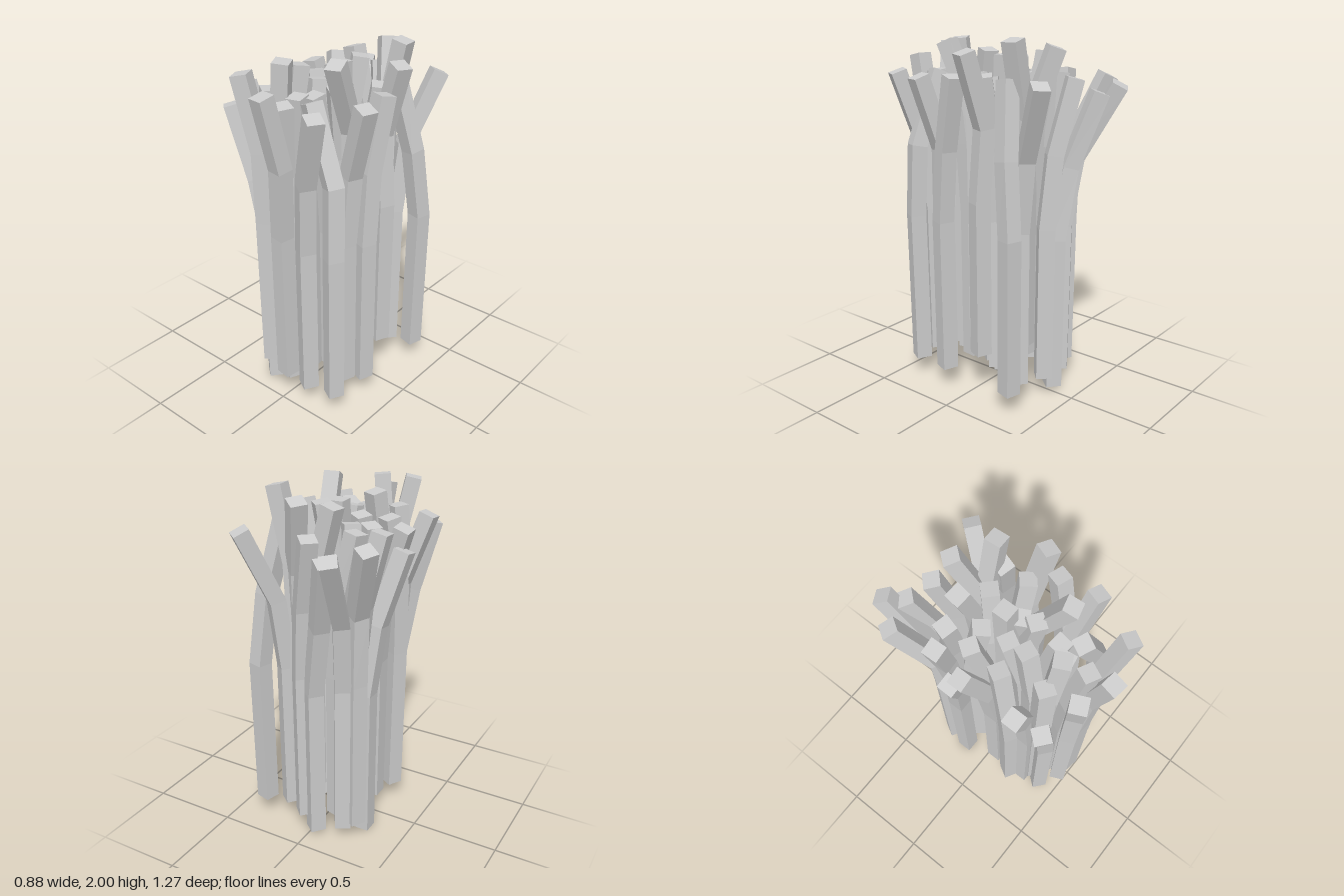
import * as THREE from 'three';

const WIDTH = 0.088;
// height above the foot of the four rings: foot, shaft, bend, tip
const RISE = [0, 0.88, 1.28, 1.68];
// the feet stand slightly closer together than the shafts
const FOOT_PULL = 0.98;

// each stick: tip x, z, bend x, z, shaft x, z, foot height, turn in degrees
const backSticks = [
  [-0.26, -0.58, -0.205, -0.36, -0.18, -0.30, 0.07, 32],
  [-0.19, -0.50, -0.09, -0.385, -0.03, -0.35, 0.03, 50],
  [-0.38, -0.43, -0.255, -0.28, -0.245, -0.27, 0.10, -30],
  [-0.06, -0.43, 0.02, -0.365, 0.05, -0.34, 0.11, 45],
  [0.035, -0.375, 0.12, -0.26, 0.14, -0.23, 0.27, 52],
  [0.31, -0.48, 0.21, -0.32, 0.19, -0.27, 0.11, -40],
  [0.22, -0.21, 0.305, -0.27, 0.335, -0.315, 0.11, -15],
  [0.23, -0.25, 0.14, -0.25, 0.12, -0.25, 0.31, 5],
  [-0.085, -0.235, 0.02, -0.225, 0.05, -0.22, 0.23, -8],
  [-0.21, -0.22, -0.14, -0.245, -0.12, -0.25, 0.11, -15],
  [-0.335, -0.18, -0.25, -0.22, -0.21, -0.22, 0.12, 3],
];
const middleSticks = [
  [-0.395, -0.045, -0.29, -0.12, -0.25, -0.16, 0.0, 0],
  [-0.37, 0.0, -0.235, 0.045, -0.20, 0.06, 0.10, 0],
  [-0.215, -0.065, -0.15, -0.02, -0.13, 0.0, 0.11, -35],
  [-0.105, -0.08, -0.14, -0.13, -0.14, -0.14, 0.11, 40],
  [0.0, -0.02, 0.0, -0.01, -0.01, 0.0, 0.21, 0],
  [0.035, -0.14, -0.01, -0.09, -0.02, -0.08, 0.22, 45],
  [0.23, -0.06, 0.15, -0.06, 0.12, -0.05, 0.12, 40],
  [0.365, -0.045, 0.24, -0.07, 0.27, -0.06, 0.25, -22],
  [0.34, 0.05, 0.32, 0.13, 0.32, 0.16, 0.12, -20],
  [-0.085, 0.065, -0.055, 0.13, -0.05, 0.15, 0.12, -30],
  [0.08, 0.11, 0.06, 0.05, 0.05, 0.04, 0.11, -35],
  [0.18, 0.235, 0.145, 0.06, 0.15, 0.05, 0.28, 15],
  [0.385, 0.255, 0.26, 0.21, 0.24, 0.23, 0.11, -18],
  [-0.225, 0.12, -0.255, 0.185, -0.25, 0.20, 0.11, -30],
  [0.06, 0.03, 0.09, -0.04, 0.08, -0.07, 0.09, 30],
];
const frontSticks = [
  [-0.105, 0.185, -0.125, 0.255, -0.13, 0.26, 0.22, -25],
  [-0.365, 0.32, -0.23, 0.28, -0.20, 0.28, 0.10, 0],
  [0.06, 0.265, 0.07, 0.20, 0.07, 0.17, 0.11, -5],
  [-0.165, 0.345, -0.195, 0.36, -0.15, 0.32, 0.12, -35],
  [-0.06, 0.355, -0.105, 0.34, -0.08, 0.31, 0.28, 28],
  [0.01, 0.33, 0.01, 0.28, 0.01, 0.26, 0.11, 10],
  [0.125, 0.35, 0.285, 0.375, 0.295, 0.39, 0.11, -28],
  [-0.33, 0.455, -0.23, 0.41, -0.17, 0.385, 0.03, -40],
  [-0.17, 0.53, -0.09, 0.49, -0.09, 0.48, 0.24, 25],
  [0.03, 0.455, -0.02, 0.41, -0.02, 0.39, 0.10, -25],
  [0.285, 0.515, 0.165, 0.45, 0.13, 0.42, 0.11, -30],
  [0.025, 0.59, 0.045, 0.50, 0.02, 0.475, 0.18, -8],
];

// Bends a four-ring square bar along its leaning path
function stickGeometry([tipX, tipZ, bendX, bendZ, x, z, foot, turn]) {
  const path = [
    new THREE.Vector3(x * FOOT_PULL, foot + RISE[0], z * FOOT_PULL),
    new THREE.Vector3(x, foot + RISE[1], z),
    new THREE.Vector3(bendX, foot + RISE[2], bendZ),
    new THREE.Vector3(tipX, foot + RISE[3], tipZ),
  ];
  const up = new THREE.Vector3(0, 1, 0);
  const tilts = path.map((p, i) => {
    const along = path[Math.min(i + 1, 3)].clone().sub(path[Math.max(i - 1, 0)]).normalize();
    return new THREE.Quaternion().setFromUnitVectors(up, along);
  });
  const geometry = new THREE.BoxGeometry(WIDTH, 3, WIDTH, 1, 3, 1);
  geometry.rotateY(THREE.MathUtils.degToRad(turn));
  const pos = geometry.attributes.position;
  const v = new THREE.Vector3();
  for (let i = 0; i < pos.count; i++) {
    v.fromBufferAttribute(pos, i);
    const ring = Math.round(v.y + 1.5);
    v.setY(0).applyQuaternion(tilts[ring]).add(path[ring]);
    pos.setXYZ(i, v.x, Math.max(v.y, 0), v.z);
  }
  geometry.computeVertexNormals();
  return geometry;
}

export function createModel() {
  const model = new THREE.Group();
  model.name = 'stickBundle';
  const material = new THREE.MeshStandardMaterial({ color: 0xcccccc, flatShading: true });
  const rows = { backSticks, middleSticks, frontSticks };
  for (const [name, sticks] of Object.entries(rows)) {
    const row = new THREE.Group();
    row.name = name;
    for (const stick of sticks) {
      const mesh = new THREE.Mesh(stickGeometry(stick), material);
      mesh.name = 'stick';
      row.add(mesh);
    }
    model.add(row);
  }
  return model;
}
